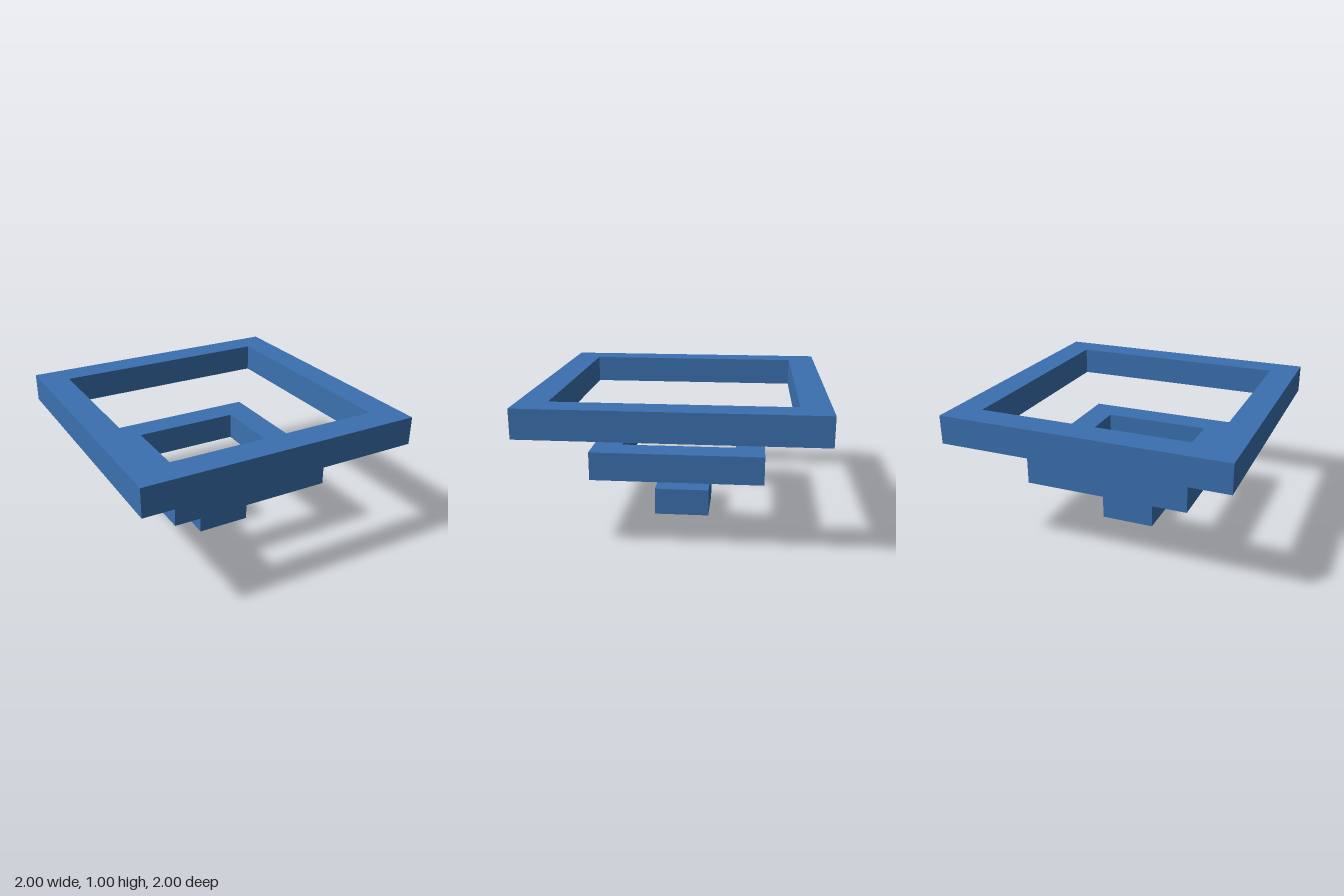
import * as THREE from 'three';

const THICKNESS = 0.2;

// Closed square outline centred on the origin
function square(half, Type) {
  const s = new Type();
  s.moveTo(-half, -half);
  s.lineTo(half, -half);
  s.lineTo(half, half);
  s.lineTo(-half, half);
  s.closePath();
  return s;
}

// Flat square frame lying in the xz plane, its underside at y = 0
function frameGeometry(outer, inner) {
  const shape = square(outer, THREE.Shape);
  shape.holes.push(square(inner, THREE.Path));
  const geometry = new THREE.ExtrudeGeometry(shape, { depth: THICKNESS, bevelEnabled: false });
  return geometry.rotateX(-Math.PI / 2);
}

export function createModel() {
  const model = new THREE.Group();
  model.name = 'steppedSquareFrames';
  const blue = new THREE.MeshStandardMaterial({ color: 0x3b70af });
  blue.name = 'blue';

  // Solid block at the bottom
  const block = new THREE.Mesh(new THREE.BoxGeometry(0.4, THICKNESS, 0.4), blue);
  block.name = 'baseBlock';
  block.position.y = THICKNESS / 2;
  model.add(block);

  // Floating frames, widening upwards
  for (const [name, outer, inner, y] of [
    ['middleFrame', 0.6, 0.4, 0.4],
    ['topFrame', 1, 0.8, 0.8],
  ]) {
    const frame = new THREE.Mesh(frameGeometry(outer, inner), blue);
    frame.name = name;
    frame.position.y = y;
    model.add(frame);
  }
  return model;
}
